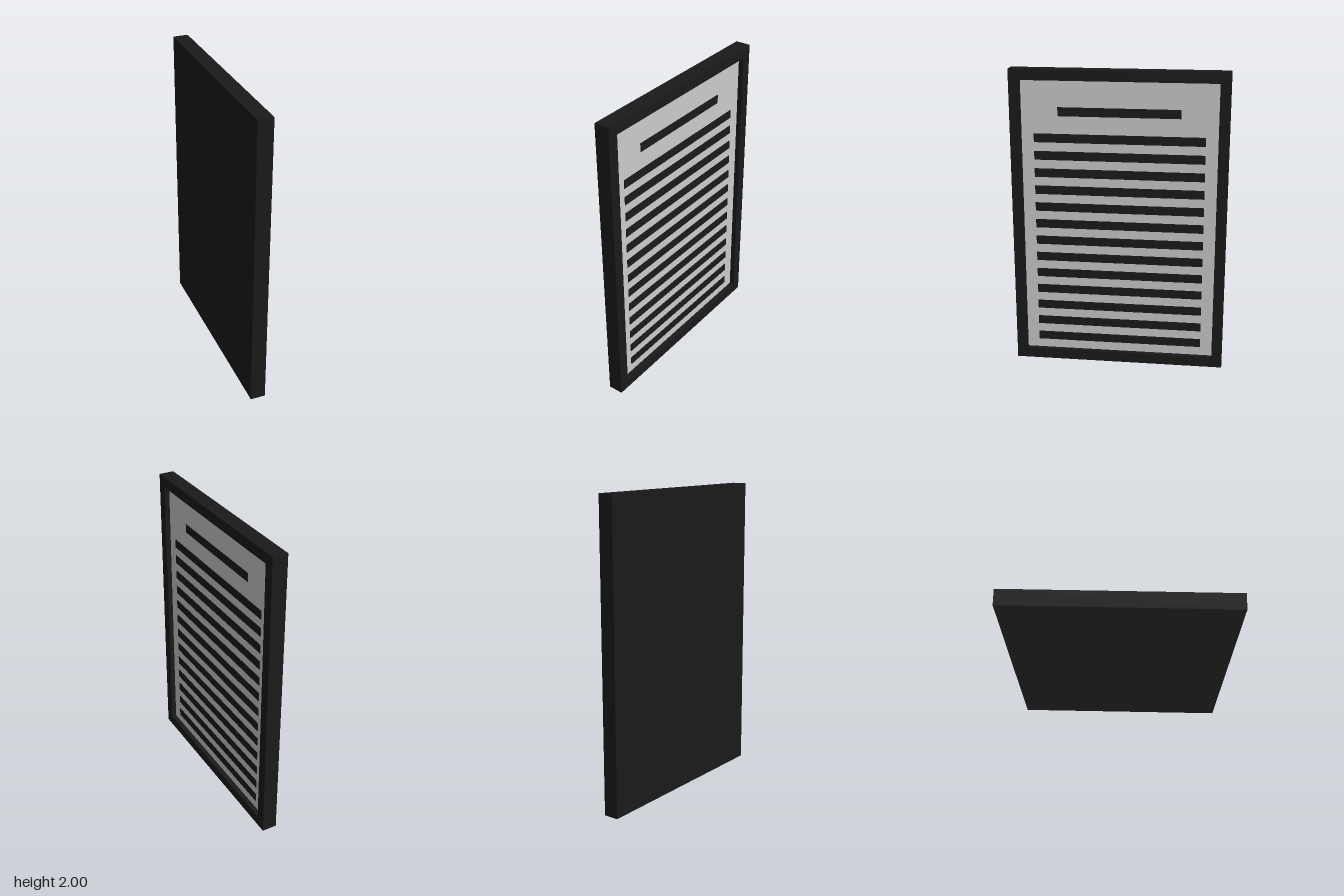
import * as THREE from 'three';

const black = new THREE.MeshStandardMaterial({ color: 0x1a1a1a });
const grey = new THREE.MeshStandardMaterial({ color: 0xcccccc });

const HEIGHT = 2, HALF_WIDTH = 0.706, HALF_DEPTH = 0.05;
const PANEL_X = 0.017, BAR_X = 0.02;

export function createModel() {
  const model = new THREE.Group();

  // box given by its x, y and z ranges
  function addBox(name, material, [x0, x1], [y0, y1], [z0, z1]) {
    const mesh = new THREE.Mesh(new THREE.BoxGeometry(x1 - x0, y1 - y0, z1 - z0), material);
    mesh.position.set((x0 + x1) / 2, (y0 + y1) / 2, (z0 + z1) / 2);
    mesh.name = name;
    model.add(mesh);
  }

  // rectangular frame, extruded in depth and turned to face +x
  const outline = new THREE.Shape([
    new THREE.Vector2(-HALF_WIDTH, 0), new THREE.Vector2(HALF_WIDTH, 0),
    new THREE.Vector2(HALF_WIDTH, HEIGHT), new THREE.Vector2(-HALF_WIDTH, HEIGHT),
  ]);
  outline.holes.push(new THREE.Path([
    new THREE.Vector2(-0.636, 0.07), new THREE.Vector2(-0.636, 1.93),
    new THREE.Vector2(0.636, 1.93), new THREE.Vector2(0.636, 0.07),
  ]));
  const frameGeometry = new THREE.ExtrudeGeometry(outline, { depth: 2 * HALF_DEPTH, bevelEnabled: false });
  frameGeometry.translate(0, 0, -HALF_DEPTH).rotateY(Math.PI / 2);
  const frame = new THREE.Mesh(frameGeometry, black);
  frame.name = 'frame';
  model.add(frame);

  // closed back and the recessed sheet in front of it
  addBox('backBoard', black, [-HALF_DEPTH, 0], [0.07, 1.93], [-0.636, 0.636]);
  addBox('sheet', grey, [0, PANEL_X], [0.07, 1.93], [-0.636, 0.636]);

  // raised heading bar and thirteen rows below it
  const addBar = (name, y, halfLength) =>
    addBox(name, black, [PANEL_X - 0.005, BAR_X], [y - 0.029, y + 0.029], [-halfLength, halfLength]);
  addBar('headingBar', 1.727, 0.397);
  for (let i = 0; i < 13; i++) addBar('rowBar', 1.553 - i * 0.1162, 0.556);

  return model;
}
